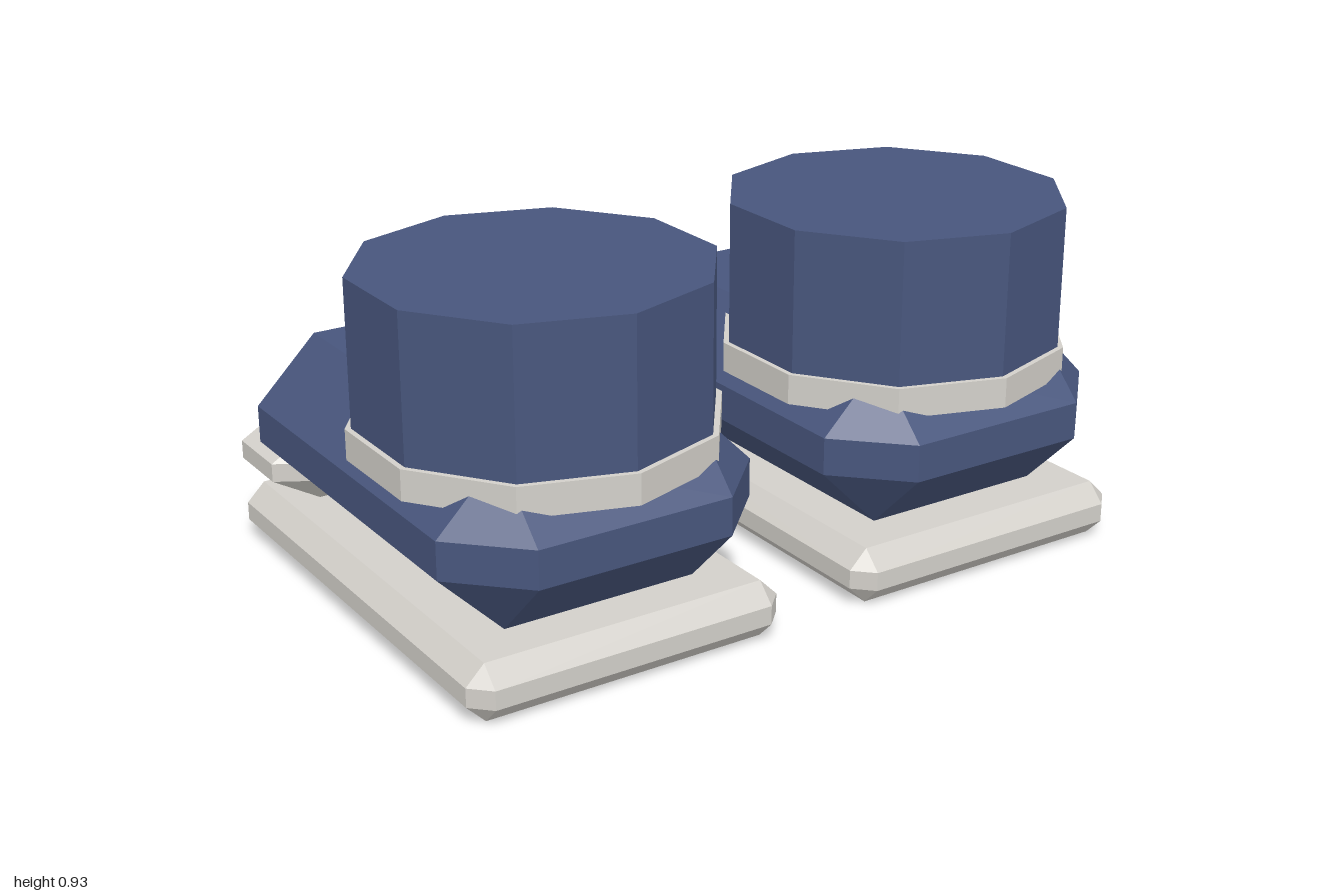
import * as THREE from 'three';
import { ConvexGeometry } from 'three/addons/geometries/ConvexGeometry.js';

// Box from min to max whose edges and corners are cut flat by (cx, cy, cz)
function chamferBox(min, max, cut) {
  const mid = min.map((v, i) => (v + max[i]) / 2);
  const half = min.map((v, i) => (max[i] - v) / 2);
  const points = [];
  for (const sx of [-1, 1]) for (const sy of [-1, 1]) for (const sz of [-1, 1]) {
    const s = [sx, sy, sz];
    // one point on each of the three faces that meet at this corner
    for (let face = 0; face < 3; face++) {
      points.push(new THREE.Vector3(...s.map((sign, i) =>
        mid[i] + sign * (half[i] - (i === face ? 0 : cut[i])))));
    }
  }
  return new ConvexGeometry(points);
}

export function createModel() {
  const navy = new THREE.MeshStandardMaterial({ color: 0x48567d, flatShading: true });
  navy.name = 'navy leather';
  const cream = new THREE.MeshStandardMaterial({ color: 0xd3d0ca, flatShading: true });
  cream.name = 'cream rubber';

  const LEG_Z = 0.22;
  const prism = (radius, y0, y1) =>
    new THREE.CylinderGeometry(radius, radius, y1 - y0, 10).translate(0, (y0 + y1) / 2, LEG_Z);

  const parts = [
    ['sole', chamferBox([-0.435, 0, -0.66], [0.435, 0.15, 0.675], [0.05, 0.05, 0.05]), cream],
    ['foot', chamferBox([-0.435, 0.15, -0.66], [0.435, 0.59, 0.675], [0.17, 0.17, 0.17]), navy],
    ['toeCap', chamferBox([-0.437, 0.155, -0.69], [0.437, 0.355, -0.345], [0.13, 0.075, 0.075]), cream],
    ['ankleBand', prism(0.47, 0.47, 0.55), cream],
    ['shaft', prism(0.455, 0.5, 0.93), navy],
  ];

  // A pair of boots, toes toward -z
  const model = new THREE.Group();
  model.name = 'boots';
  for (const side of [-1, 1]) {
    const boot = new THREE.Group();
    boot.name = side > 0 ? 'leftBoot' : 'rightBoot';
    for (const [name, geometry, material] of parts) {
      const mesh = new THREE.Mesh(geometry, material);
      mesh.name = name;
      boot.add(mesh);
    }
    boot.position.x = side * 0.55;
    model.add(boot);
  }
  return model;
}
